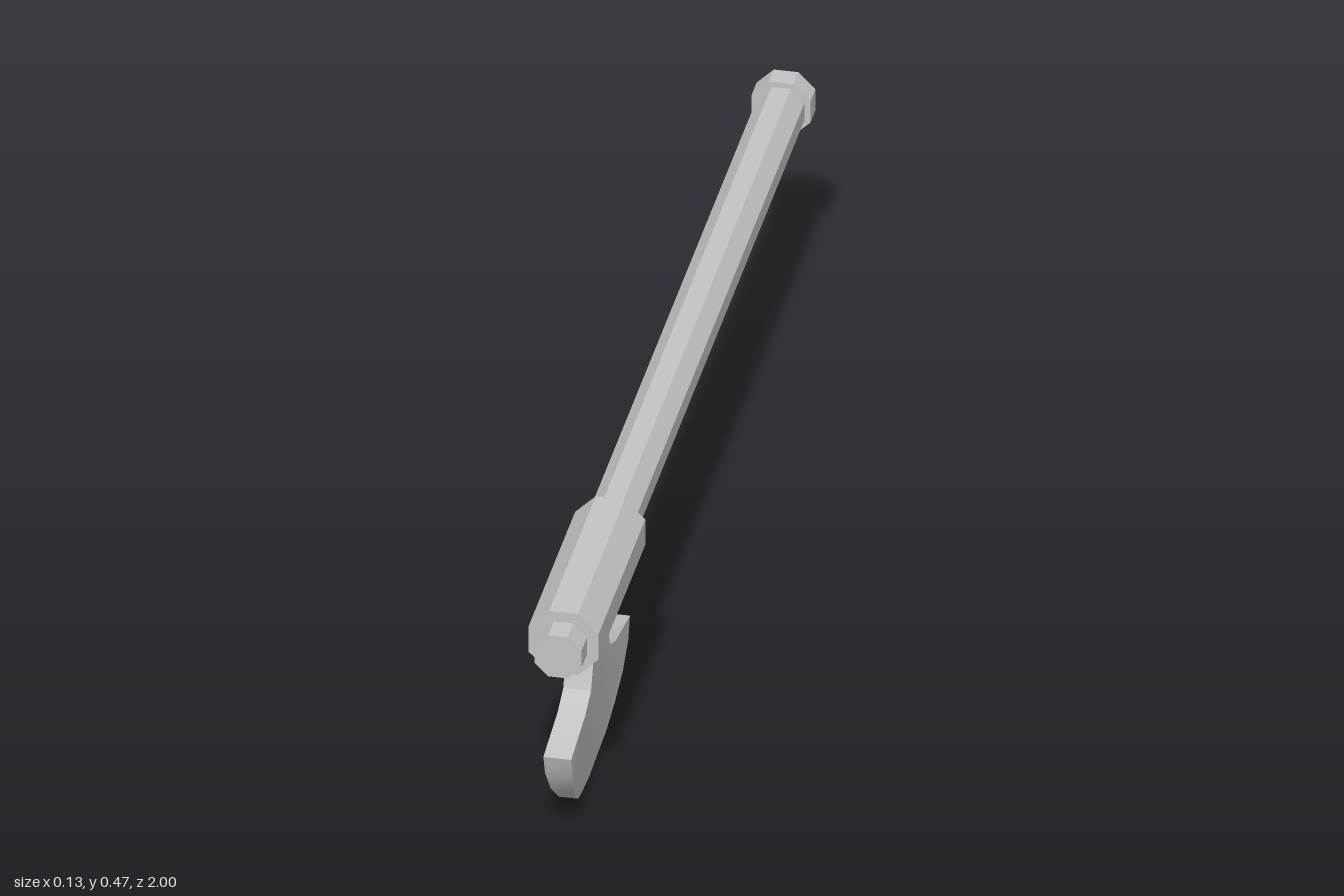
import * as THREE from 'three';
import { toCreasedNormals } from 'three/addons/utils/BufferGeometryUtils.js';

const AXIS_Y = 0.408;   // height of the handle's axis
const BLADE_Z = 0.744;  // middle of the blade along the handle
const CREASE = 0.55;

const steel = new THREE.MeshStandardMaterial({ color: 0xc4c4c4 });
steel.name = 'grey steel';

// Octagonal bar along z, measured flat to flat
function octagonBar(name, halfWidth, z0, z1) {
  const r = halfWidth / Math.cos(Math.PI / 8);
  const geo = new THREE.CylinderGeometry(r, r, z1 - z0, 8, 1, false, Math.PI / 8);
  geo.rotateX(Math.PI / 2);
  const mesh = new THREE.Mesh(toCreasedNormals(geo, CREASE), steel);
  mesh.name = name;
  mesh.position.set(0, AXIS_Y, (z0 + z1) / 2);
  return mesh;
}

// Half thickness of the blade, narrowing towards the cutting edge
function halfThickness(y) {
  const steps = [[0, 0.005], [0.015, 0.007], [0.03, 0.012], [0.1, 0.022], [0.145, 0.026]];
  for (let i = 1; i < steps.length; i++) {
    const [y0, t0] = steps[i - 1], [y1, t1] = steps[i];
    if (y <= y1) return THREE.MathUtils.mapLinear(y, y0, y1, t0, t1);
  }
  return 0.026;
}

function makeBlade() {
  // Half outline from the neck, out to the horn and round to the lowest point
  const half = [
    [0.065, 0.36], [0.064, 0.31], [0.068, 0.275], [0.083, 0.236], [0.133, 0.214],
    [0.257, 0.193], [0.243, 0.15], [0.213, 0.1], [0.171, 0.057], [0.121, 0.027],
    [0.064, 0.008], [0, 0],
  ];
  const mirrored = half.slice(0, -1).reverse().map(([z, y]) => [-z, y]);
  const shape = new THREE.Shape([...half, ...mirrored].map(([z, y]) => new THREE.Vector2(z, y)));
  const geo = new THREE.ExtrudeGeometry(shape, { depth: 2, bevelEnabled: false });
  geo.translate(0, 0, -1);
  geo.rotateY(-Math.PI / 2);

  // Taper the sides
  const pos = geo.attributes.position;
  for (let i = 0; i < pos.count; i++) {
    pos.setX(i, Math.sign(pos.getX(i)) * halfThickness(pos.getY(i)));
  }
  const mesh = new THREE.Mesh(toCreasedNormals(geo, CREASE), steel);
  mesh.name = 'blade';
  mesh.position.z = BLADE_Z;
  return mesh;
}

export function createModel() {
  const axe = new THREE.Group();
  axe.name = 'axe';
  axe.add(
    octagonBar('handle', 0.044, -0.98, 0.996),
    octagonBar('headSleeve', 0.0655, 0.538, 0.946),
    octagonBar('pommel', 0.055, -1, -0.957),
    makeBlade(),
  );
  return axe;
}
